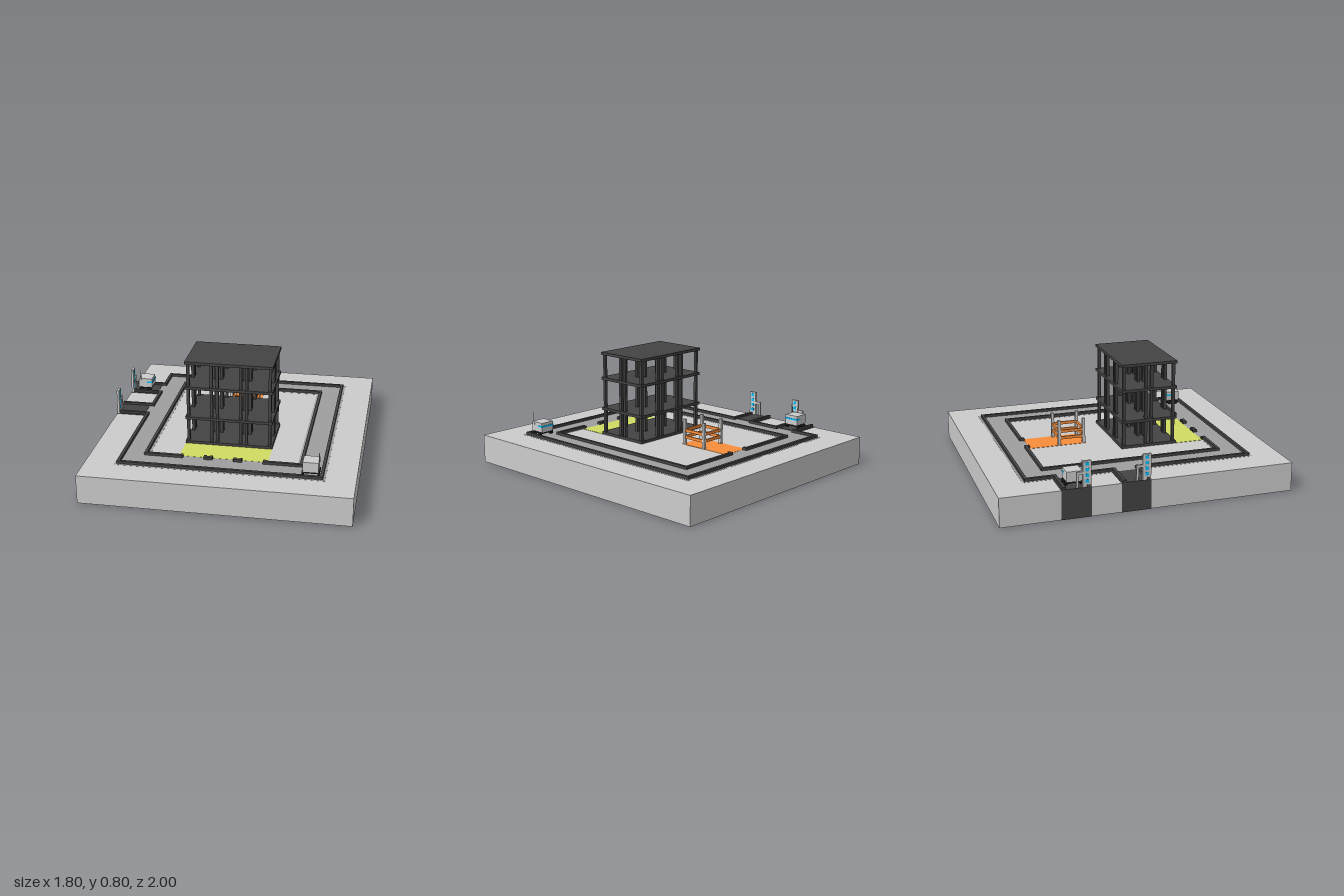
import * as THREE from 'three';

const mat = (color) => new THREE.MeshStandardMaterial({ color });
const GREY = mat(0xcccccc), ROAD = mat(0x9f9f9f), DARK = mat(0x434343), BLACK = mat(0x1c1c1c);
const ORANGE = mat(0xf88e3b), GREEN = mat(0xd0dc62), BLUE = mat(0x00bfff);
const G = 0.2; // ground level

// box given by its min and max corners
function box(parent, name, m, x0, x1, y0, y1, z0, z1) {
  const mesh = new THREE.Mesh(new THREE.BoxGeometry(x1 - x0, y1 - y0, z1 - z0), m);
  mesh.position.set((x0 + x1) / 2, (y0 + y1) / 2, (z0 + z1) / 2);
  mesh.name = name;
  parent.add(mesh);
  return mesh;
}

function group(parent, name) {
  const g = new THREE.Group();
  g.name = name;
  parent.add(g);
  return g;
}

// low kerb along a polyline of [x, z] points
function kerb(parent, pts) {
  const h = 0.01;
  for (let i = 0; i + 1 < pts.length; i++) {
    const [a, b] = pts[i], [c, d] = pts[i + 1];
    box(parent, 'kerb', DARK, Math.min(a, c) - h, Math.max(a, c) + h, G, G + 0.02,
      Math.min(b, d) - h, Math.max(b, d) + h);
  }
}

function rectangle(target, x, z) {
  target.moveTo(-x, -z);
  target.lineTo(x, -z);
  target.lineTo(x, z);
  target.lineTo(-x, z);
  target.closePath();
  return target;
}

function buildGround(root) {
  const g = group(root, 'ground');
  box(g, 'baseSlab', GREY, -0.9, 0.9, 0.001, G, -1, 1);
  // road ring runs through the slab
  const ring = rectangle(new THREE.Shape(), 0.7, 0.8);
  ring.holes.push(rectangle(new THREE.Path(), 0.5, 0.6));
  const geo = new THREE.ExtrudeGeometry(ring, { depth: G + 0.001, bevelEnabled: false });
  geo.rotateX(-Math.PI / 2);
  const road = new THREE.Mesh(geo, ROAD);
  road.name = 'road';
  g.add(road);
  box(g, 'lawn', GREEN, -0.3, 0.3, 0, G + 0.002, 0.4, 0.6);
  box(g, 'loadingYard', ORANGE, -0.1, 0.1, 0, G + 0.002, -0.6, -0.2);
  for (const z of [-0.5, -0.1])
    box(g, 'parkingPad', DARK, -0.901, -0.7, 0, G + 0.004, z - 0.1, z + 0.1);
}

function buildKerbs(root) {
  const g = group(root, 'kerbs');
  // outer loop, open at the two parking bays
  kerb(g, [[-0.89, -0.58], [-0.675, -0.58], [-0.675, -0.775], [0.675, -0.775],
    [0.675, 0.775], [-0.675, 0.775], [-0.675, -0.02], [-0.89, -0.02]]);
  kerb(g, [[-0.89, -0.42], [-0.675, -0.42], [-0.675, -0.18], [-0.89, -0.18]]);
  // inner loop, open at the yard and the lawn, with islands between the openings
  for (const s of [-1, 1]) {
    kerb(g, [[s * 0.08, -0.61], [s * 0.08, -0.625], [s * 0.525, -0.625],
      [s * 0.525, 0.62], [s * 0.28, 0.62], [s * 0.28, 0.61]]);
    kerb(g, [[s * 0.08, 0.61], [s * 0.08, 0.62], [s * 0.12, 0.62], [s * 0.12, 0.61]]);
  }
}

// open frame building of 3 x 2 bays on three storeys
function buildBuilding(root) {
  const g = group(root, 'building');
  for (const y of [0.2, 0.38, 0.6, 0.78])
    box(g, 'floorSlab', DARK, -0.3, 0.3, y + 0.0005, y + 0.02, 0, 0.4);
  for (const [y0, y1] of [[0.22, 0.38], [0.4, 0.6], [0.62, 0.78]])
    for (const cx of [-0.2, 0, 0.2])
      for (const cz of [0.1, 0.3])
        for (const sx of [-1, 1])
          for (const sz of [-1, 1]) {
            const x = cx + sx * 0.08, z = cz + sz * 0.08;
            box(g, 'column', DARK, x - 0.01, x + 0.01, y0, y1, z - 0.01, z + 0.01);
          }
}

// rack with four posts and two rings of rails
function buildRack(root) {
  const g = group(root, 'storageRack');
  g.position.set(0, G, -0.3);
  for (const sx of [-1, 1])
    for (const sz of [-1, 1])
      box(g, 'rackPost', GREY, sx * 0.088 - 0.01, sx * 0.088 + 0.01, 0, 0.18,
        sz * 0.088 - 0.01, sz * 0.088 + 0.01);
  for (const y of [0.042, 0.09])
    for (const s of [-1, 1]) {
      const c = s * 0.088;
      box(g, 'rackRail', ORANGE, -0.08, 0.08, y, y + 0.02, c - 0.006, c + 0.006);
      box(g, 'rackRail', ORANGE, c - 0.006, c + 0.006, y, y + 0.02, -0.08, 0.08);
    }
}

// charging tower with blue lights through it and a side arm
function buildCharger(root, z) {
  const g = group(root, 'chargingStation');
  g.position.set(-0.89, G, z);
  box(g, 'tower', GREY, -0.008, 0.008, 0, 0.18, -0.058, -0.002);
  for (let i = 0; i < 4; i++) {
    const y = 0.045 + i * 0.038;
    box(g, 'towerLight', BLUE, -0.01, 0.01, y - 0.011, y + 0.011, -0.042, -0.018);
  }
  box(g, 'armBeam', GREY, -0.006, 0.006, 0.09, 0.108, -0.1, -0.058);
  box(g, 'armPost', GREY, -0.006, 0.006, 0, 0.09, -0.1, -0.086);
}

// small delivery vehicle, nose towards -z
function buildVehicle(root, x, z, turn) {
  const g = group(root, 'vehicle');
  g.position.set(x, G, z);
  g.rotation.y = turn;
  box(g, 'chassis', BLACK, -0.045, 0.045, 0.02, 0.032, -0.045, 0.048);
  box(g, 'body', GREY, -0.052, 0.052, 0.032, 0.1, -0.05, 0.052);
  box(g, 'lightBand', BLUE, -0.0535, 0.0535, 0.068, 0.08, -0.054, -0.012);
  for (const s of [-1, 1])
    for (const wz of [-0.026, 0.028]) {
      const wheel = new THREE.Mesh(new THREE.CylinderGeometry(0.016, 0.016, 0.014, 20), BLACK);
      wheel.rotation.z = Math.PI / 2;
      wheel.position.set(s * 0.051, 0.018, wz);
      wheel.name = 'wheel';
      g.add(wheel);
    }
  // antenna on a round mount at the rear right
  const mount = new THREE.Mesh(new THREE.CylinderGeometry(0.008, 0.008, 0.006, 16), GREY);
  mount.rotation.z = Math.PI / 2;
  mount.position.set(0.054, 0.085, 0.034);
  mount.name = 'antennaMount';
  const rod = new THREE.Mesh(new THREE.CylinderGeometry(0.0025, 0.0025, 0.08, 8), GREY);
  rod.position.set(0.054, 0.125, 0.034);
  rod.name = 'antenna';
  g.add(mount, rod);
}

export function createModel() {
  const root = new THREE.Group();
  root.name = 'siteModel';
  buildGround(root);
  buildKerbs(root);
  buildBuilding(root);
  buildRack(root);
  buildCharger(root, 0);
  buildCharger(root, -0.4);
  buildVehicle(root, 0.6, 0.7, 0);
  buildVehicle(root, -0.8, -0.5, -Math.PI / 2);
  return root;
}
